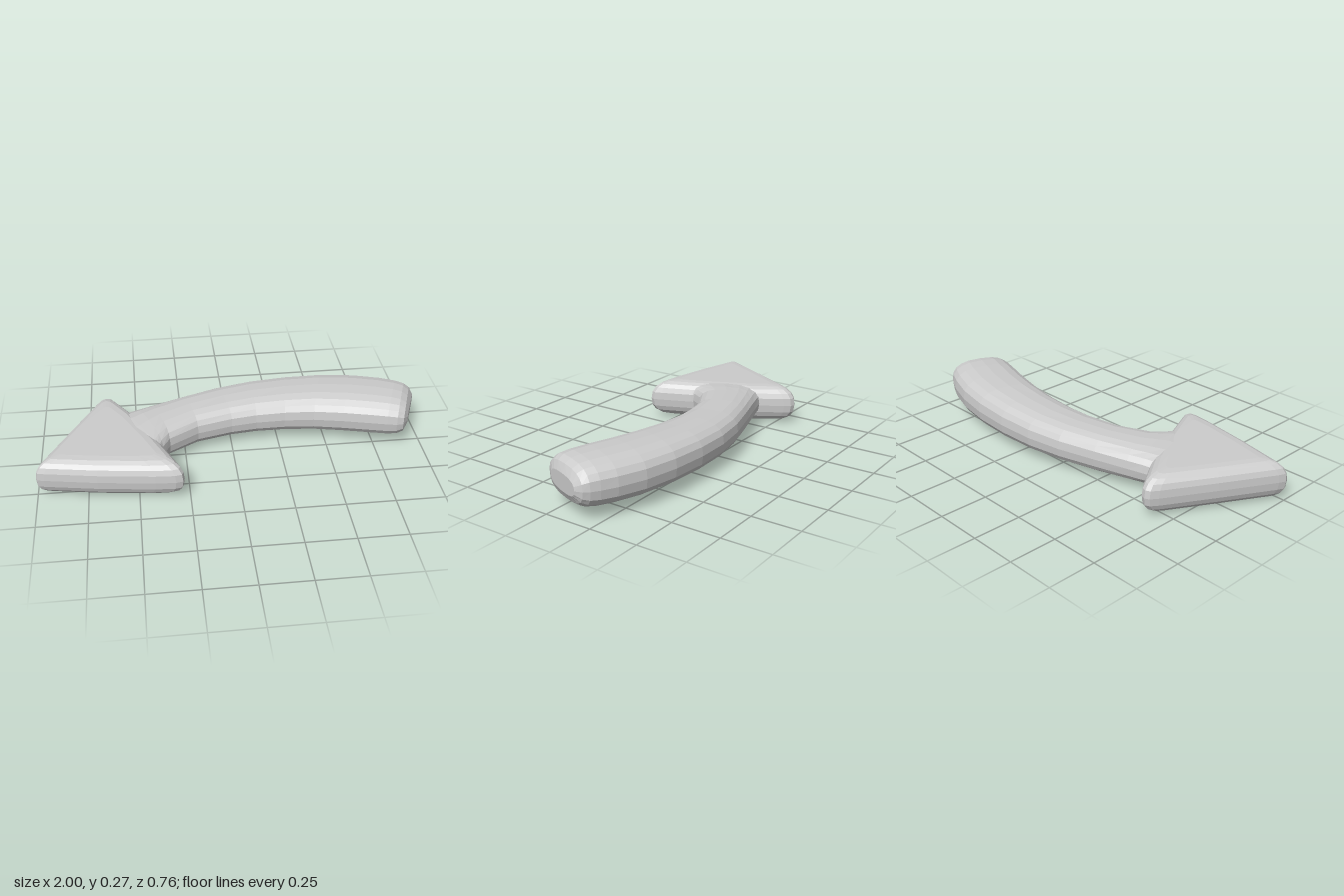
import * as THREE from 'three';

const material = new THREE.MeshStandardMaterial({ color: 0xcccccc, flatShading: true });

// Skin a list of closed rings and close both ends with fans
function loft(name, rings) {
  const n = rings[0].length, pos = [], idx = [];
  rings.forEach(r => r.forEach(p => pos.push(p.x, p.y, p.z)));
  for (let i = 0; i < rings.length - 1; i++) {
    for (let j = 0; j < n; j++) {
      const k = (j + 1) % n;
      const a = i * n + j, b = i * n + k, c = b + n, d = a + n;
      idx.push(a, d, c, a, c, b);
    }
  }
  for (const [i, isEnd] of [[0, false], [rings.length - 1, true]]) {
    const mid = new THREE.Vector3();
    rings[i].forEach(p => mid.addScaledVector(p, 1 / n));
    const m = pos.length / 3;
    pos.push(mid.x, mid.y, mid.z);
    for (let j = 0; j < n; j++) {
      const a = i * n + j, b = i * n + (j + 1) % n;
      if (isEnd) idx.push(m, b, a);
      else idx.push(m, a, b);
    }
  }
  const geo = new THREE.BufferGeometry();
  geo.setAttribute('position', new THREE.Float32BufferAttribute(pos, 3));
  geo.setIndex(idx);
  geo.computeVertexNormals();
  const mesh = new THREE.Mesh(geo, material);
  mesh.name = name;
  return mesh;
}

const softPow = (v, e) => Math.sign(v) * Math.pow(Math.abs(v), e);

// Piecewise-linear lookup in [x, value] pairs
function lookup(table, x) {
  for (let i = 1; i < table.length; i++) {
    const [x0, v0] = table[i - 1], [x1, v1] = table[i];
    if (x <= x1) return THREE.MathUtils.lerp(v0, v1, Math.max(0, (x - x0) / (x1 - x0)));
  }
  return table[table.length - 1][1];
}

// Curved shaft: each station is back x, back z, front x, front z, height factor
function buildShaft() {
  const stations = [
    [-0.72, -0.05, -0.55, 0.18, 0.85],
    [-0.57, -0.18, -0.385, 0.2, 0.97],
    [-0.5, -0.197, -0.365, 0.14, 1],
    [-0.42, -0.222, -0.33, 0.08, 1],
    [-0.25, -0.278, -0.18, -0.005, 1],
    [-0.06, -0.338, 0, -0.042, 1],
    [0.13, -0.374, 0.13, -0.052, 1],
    [0.33, -0.385, 0.28, -0.048, 1],
    [0.53, -0.375, 0.43, -0.03, 1],
    [0.71, -0.343, 0.58, 0.005, 1],
    [0.85, -0.295, 0.71, 0.042, 1],
    [0.925, -0.258, 0.8, 0.067, 0.99],
    [0.965, -0.232, 0.85, 0.078, 0.93],
    [0.988, -0.208, 0.885, 0.075, 0.75],
    [0.999, -0.17, 0.915, 0.04, 0.4],
  ];
  const top = [[-0.6, 0.205], [0, 0.23], [0.5, 0.257], [0.75, 0.264], [1, 0.262]];
  const bottom = [[-0.6, 0.015], [0, 0.03], [0.7, 0.034], [1, 0.045]];
  const sides = 20;
  const rings = stations.map(([bx, bz, fx, fz, h]) => {
    const cx = (bx + fx) / 2, cz = (bz + fz) / 2;
    const hi = lookup(top, cx), lo = lookup(bottom, cx);
    return Array.from({ length: sides }, (_, j) => {
      const t = (j / sides) * Math.PI * 2;
      const u = softPow(Math.cos(t), 0.75), v = softPow(Math.sin(t), 0.75);
      return new THREE.Vector3(
        cx + u * (fx - bx) / 2,
        (hi + lo) / 2 + v * h * (hi - lo) / 2,
        cz + u * (fz - bz) / 2);
    });
  });
  return loft('arrowShaft', rings);
}

// Triangular head: rounded outline shrunk towards its centre above and below
function buildHead() {
  const outline = [
    [-0.995, 0.268], [-1, 0.255], [-0.985, 0.22], [-0.84, -0.045], [-0.7, -0.295],
    [-0.675, -0.332], [-0.652, -0.344], [-0.628, -0.335], [-0.605, -0.305],
    [-0.52, -0.175], [-0.36, 0.155], [-0.29, 0.315], [-0.277, 0.35],
    [-0.285, 0.372], [-0.32, 0.378], [-0.42, 0.37], [-0.7, 0.328], [-0.96, 0.277],
  ];
  const cx = -0.645, cz = 0.09, layers = 10, rings = [];
  for (let i = 0; i <= layers; i++) {
    const t = (i / layers - 0.5) * Math.PI;
    const s = 1 - 0.36 * (1 - Math.pow(Math.max(0, Math.cos(t)), 0.8));
    const y = 0.1 + 0.1 * softPow(Math.sin(t), 0.8);
    rings.push(outline.map(([x, z]) => new THREE.Vector3(
      cx + (x - cx) * s, y + 0.015 * (x + 0.9), cz + (z - cz) * s)));
  }
  return loft('arrowHead', rings);
}

export function createModel() {
  const group = new THREE.Group();
  group.name = 'curvedArrow';
  group.add(buildShaft(), buildHead());
  return group;
}
